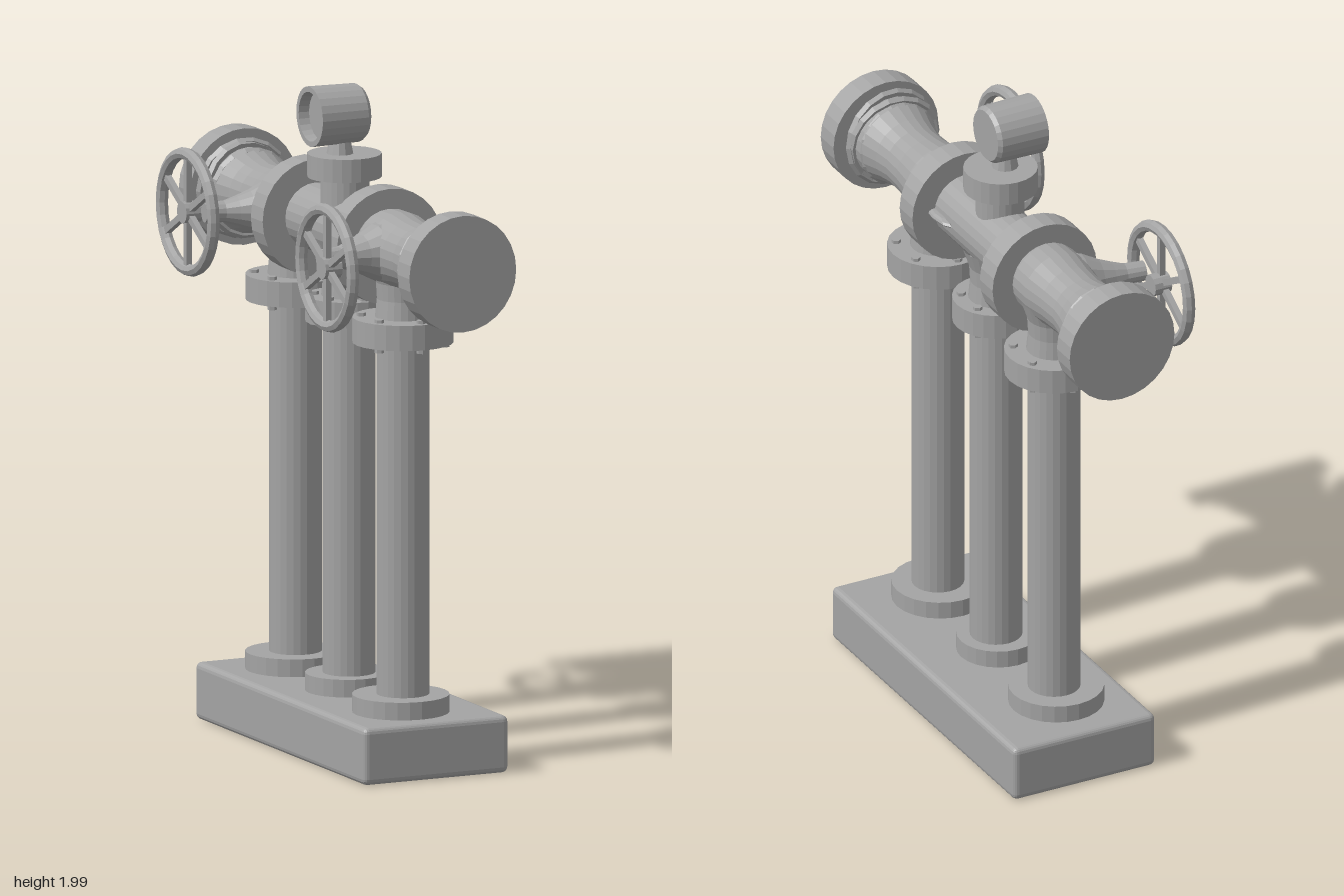
import * as THREE from 'three';
import { RoundedBoxGeometry } from 'three/addons/geometries/RoundedBoxGeometry.js';

const PIPE_X = 0.028, PIPE_Y = 1.565, COLUMN_X = 0.035;

export function createModel() {
  const model = new THREE.Group();
  model.name = 'pipeManifold';
  const castMetal = new THREE.MeshStandardMaterial({ color: 0xa4a4a4 });
  castMetal.name = 'cast metal grey';
  castMetal.flatShading = true;

  const add = (name, geometry, x, y, z, parent = model) => {
    const mesh = new THREE.Mesh(geometry, castMetal);
    mesh.name = name;
    mesh.position.set(x, y, z);
    parent.add(mesh);
    return mesh;
  };
  const disc = (r, h, sides = 24) => new THREE.CylinderGeometry(r, r, h, sides);
  // Turned profile of [radius, height] pairs, listed from bottom to top
  const turned = (points, sides = 24) =>
    new THREE.LatheGeometry(points.map(([r, h]) => new THREE.Vector2(r, h)), sides);

  // Plinth
  add('base', new RoundedBoxGeometry(0.475, 0.172, 1.145, 2, 0.018), 0.048, 0.094, -0.008);

  // Upright pipes with foot and head flanges
  for (const [z, r] of [[0.363, 0.15], [0, 0.13], [-0.362, 0.148]]) {
    const column = new THREE.Group();
    column.name = 'uprightPipe';
    column.position.set(COLUMN_X, 0, z);
    model.add(column);
    add('pipe', disc(0.078, 1.2), 0, 0.77, 0, column);
    add('footFlange', disc(r - 0.006, 0.06), -0.007, 0.203, 0, column);
    add('headFlange', disc(r, 0.076), 0, 1.327, 0, column);
    add('riser', turned([[0.083, 1.36], [0.077, 1.42], [0.08, 1.47], [0.1, 1.53]]), 0, 0, 0, column);
    for (let i = 0; i < 6; i++) {
      const a = (i + 0.5) * Math.PI / 3;
      add('flangeBolt', disc(0.014, 0.1, 6),
        Math.cos(a) * (r - 0.027), 1.325, Math.sin(a) * (r - 0.027), column);
    }
  }

  // Horizontal main
  const main = add('mainPipe', disc(0.1, 0.8), PIPE_X, PIPE_Y, 0);
  main.rotation.x = Math.PI / 2;

  // Mirrored valve bodies, flanges and hand wheels
  for (const s of [1, -1]) {
    const end = new THREE.Group();
    end.name = s > 0 ? 'frontValve' : 'backValve';
    model.add(end);

    const body = add('valveBody', turned([
      [0.1, 0.24], [0.112, 0.3], [0.114, 0.37], [0.103, 0.45],
      [0.1, 0.52], [0.108, 0.57], [0.125, 0.63], [0.125, 0.72],
    ]), PIPE_X - 0.003, PIPE_Y, 0, end);
    body.rotation.x = s * Math.PI / 2;

    const joint = add('jointFlange', disc(0.174, 0.08, 28), PIPE_X, PIPE_Y - 0.004, s * 0.25, end);
    joint.rotation.x = Math.PI / 2;
    const cap = add('endFlange', disc(0.175, 0.08, 28), 0.03, PIPE_Y, s * 0.737, end);
    cap.rotation.x = Math.PI / 2;

    // Uneven gasket collars behind the end flange
    for (const [z, r, tilt] of [[0.636, 0.118, 0.05], [0.662, 0.134, -0.07], [0.684, 0.14, 0.05]]) {
      const ring = add('gasketRing', new THREE.TorusGeometry(r, 0.013, 5, 18), 0.022, PIPE_Y, s * z, end);
      ring.rotation.set(tilt, tilt * s, 0);
    }

    // Small drain lever on the plain side
    const lever = add('drainLever', new THREE.SphereGeometry(1, 8, 6), 0.13, PIPE_Y + 0.003, s * 0.18, end);
    lever.scale.set(0.022, 0.012, 0.08);

    // Bonnet and stem reaching towards the wheel
    const stem = add('valveStem', turned([
      [0.1, 0], [0.085, 0.06], [0.06, 0.11], [0.045, 0.15],
      [0.032, 0.19], [0.03, 0.25], [0, 0.25],
    ], 14), 0, PIPE_Y, s * 0.36, end);
    stem.rotation.z = Math.PI / 2;
    stem.rotation.y = s * 0.14;

    // Hand wheel
    const wheel = new THREE.Group();
    wheel.name = 'handWheel';
    wheel.position.set(-0.265, 1.555, s * 0.47);
    wheel.rotation.y = Math.PI / 2;
    end.add(wheel);
    const rim = add('rim', new THREE.TorusGeometry(0.174, 0.018, 8, 28), 0, 0, 0, wheel);
    rim.scale.z = 1.1;
    const hub = add('hub', disc(0.033, 0.055, 12), 0, 0, 0.008, wheel);
    hub.rotation.x = Math.PI / 2;
    for (let i = 0; i < 6; i++) {
      const a = i * Math.PI / 3;
      const spoke = add('spoke', new THREE.BoxGeometry(0.02, 0.165, 0.018),
        -Math.sin(a) * 0.09, Math.cos(a) * 0.09, 0, wheel);
      spoke.rotation.z = a;
    }
  }

  // Gauge branch on top of the main
  add('gaugeBranch', disc(0.072, 0.13), 0.022, 1.68, 0);
  add('gaugeFlange', disc(0.11, 0.07), 0.02, 1.757, 0);
  add('gaugeNeck', new THREE.CylinderGeometry(0.028, 0.042, 0.07, 12), 0.005, 1.815, 0);

  // Gauge drum: solid back on one side, recessed dial on the other
  const gauge = add('gauge', turned([
    [0, -0.082], [0.078, -0.082], [0.087, -0.07], [0.09, 0.082],
    [0.074, 0.082], [0.07, 0.05], [0, 0.05],
  ]), -0.012, 1.91, 0);
  gauge.rotation.z = Math.PI / 2;

  return model;
}
